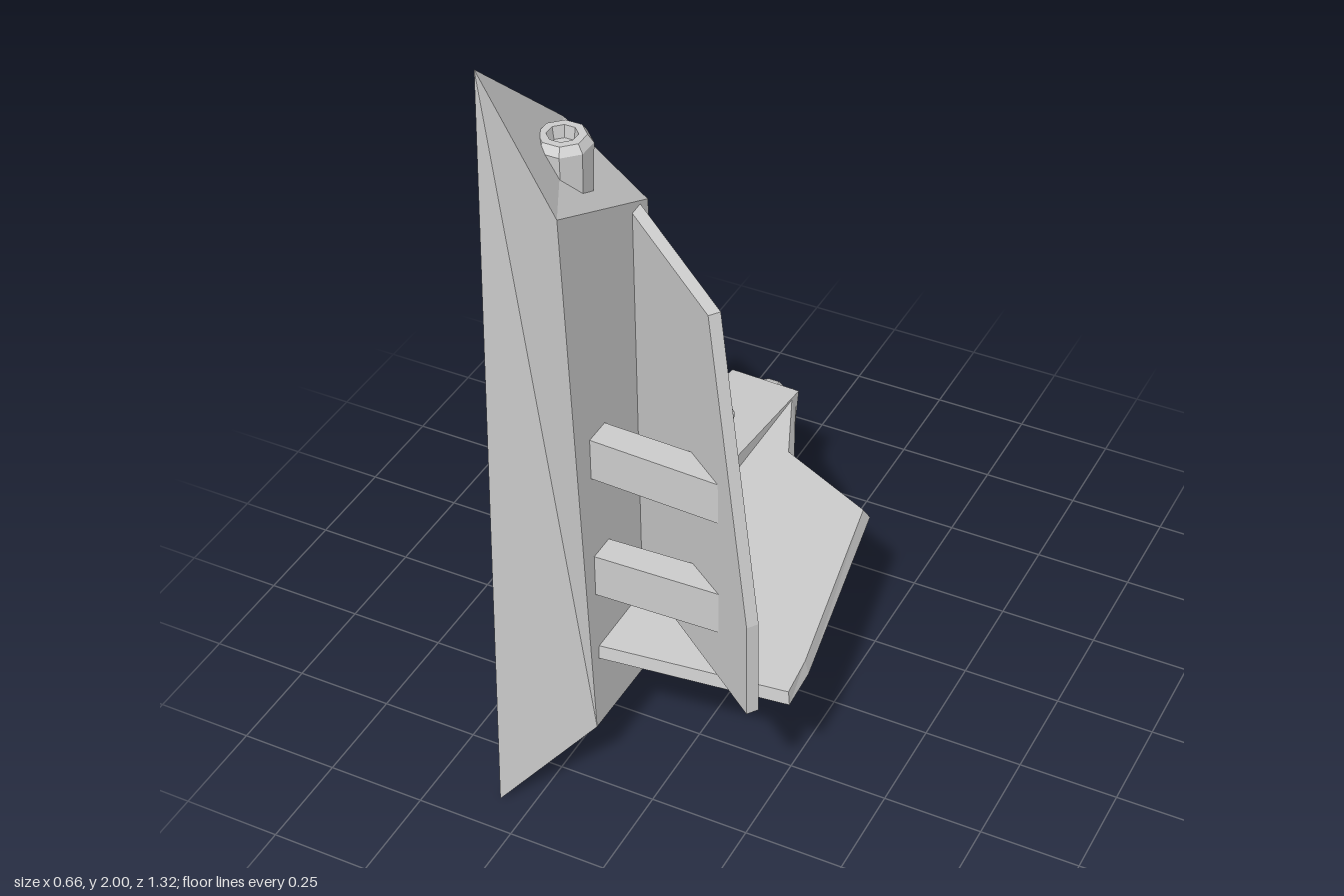
import * as THREE from 'three';

const material = new THREE.MeshStandardMaterial({ color: 0xcccccc, flatShading: true });

// Solid between two outlines of equal length; place(p, k) puts a 2D point in space (k = 0 first, 1 second).
// Outlines run counter-clockwise as seen from outside the first cap.
function loft(name, first, second, place) {
  const n = first.length, positions = [], index = [];
  [first, second].forEach((outline, k) => outline.forEach(p => positions.push(...place(p, k))));
  const cap = o => THREE.ShapeUtils.triangulateShape(o.map(p => new THREE.Vector2(...p)), []);
  for (const [a, b, c] of cap(first)) index.push(a, b, c);
  for (const [a, b, c] of cap(second)) index.push(n + c, n + b, n + a);
  for (let i = 0; i < n; i++) {
    const j = (i + 1) % n;
    index.push(i, n + i, j, n + i, n + j, j);
  }
  const geometry = new THREE.BufferGeometry();
  geometry.setAttribute('position', new THREE.Float32BufferAttribute(positions, 3));
  geometry.setIndex(index);
  const flat = geometry.toNonIndexed();
  flat.computeVertexNormals();
  const mesh = new THREE.Mesh(flat, material);
  mesh.name = name;
  return mesh;
}

// Eight-sided nozzle with a chamfered rim and a recessed bore; its rim is at the origin, pointing up
function nozzle(name, radius, length) {
  const profile = [
    [radius * 0.92, -length], [radius, -0.02], [radius * 0.8, 0],
    [radius * 0.52, 0], [radius * 0.45, -0.03], [0, -0.03],
  ].map(p => new THREE.Vector2(...p));
  const mesh = new THREE.Mesh(new THREE.LatheGeometry(profile, 8, Math.PI / 8), material);
  mesh.name = name;
  return mesh;
}

export function createModel() {
  const group = new THREE.Group();

  // L-shaped hull, outlines as [z, y]: large on the flat side, smaller on the fin side
  const outer = [[0.66, 0], [0.57, 2], [0.22, 1.69], [0.145, 0.79], [0.01, 0.57], [-0.6, 0.44], [-0.645, 0.09]];
  const inner = [[0.51, 0.19], [0.59, 1.7], [0.195, 1.515], [0.142, 0.68], [0.035, 0.505], [-0.605, 0.43], [-0.55, 0.16]];
  group.add(loft('hull', outer, inner, ([z, y], k) => [k ? -0.14 : -0.33, y, z]));

  // Horizontal fin, outlines as [x, z], with slightly bevelled outer edges
  const finBottom = [[-0.16, -0.63], [-0.05, -0.39], [0.22, -0.26], [0.325, 0.32], [0.33, 0.435], [-0.16, 0.492]];
  const finTop = [[-0.16, -0.61], [-0.055, -0.365], [0.21, -0.24], [0.315, 0.32], [0.325, 0.43], [-0.16, 0.487]];
  group.add(loft('horizontalFin', finBottom, finTop, ([x, z], k) => [x, k ? 0.43 : 0.395, z]));

  // Upright fin, outline as [distance along the fin, y], swept outward and forward
  const upright = [[-0.02, 0.48], [0.56, 0.48], [0.56, 0.74], [0.385, 1.48], [-0.02, 1.525]];
  const angle = Math.atan2(0.33, 0.45), c = Math.cos(angle), s = Math.sin(angle);
  group.add(loft('uprightFin', upright, upright, ([u, y], k) => {
    const t = k ? 0 : 0.03;
    return [-0.14 + u * c - t * s, y, 0.23 + u * s + t * c];
  }));

  // Struts from the hull to the upright fin, cut to its slant
  const strut = [[-0.18, 0.42], [0.11, 0.43], [0.185, 0.505], [-0.18, 0.49]];
  for (const [name, bottom, top, tilt] of [['upperStrut', 0.94, 1.05, 0], ['lowerStrut', 0.605, 0.72, 0.07]]) {
    group.add(loft(name, strut, strut, ([x, z], k) => [x, (k ? top : bottom) + tilt * x, z]));
  }

  // Diagonal brace below the horizontal fin, section as [x, y]
  const brace = [[-0.18, 0.185], [0.15, 0.4], [0.04, 0.4], [-0.18, 0.265]];
  group.add(loft('brace', brace, brace, ([x, y], k) => [x, y, k ? 0.14 : 0.3]));

  // Nozzles on the upper surfaces and the rear face
  const nozzles = [
    ['topNozzle', 0.067, 0.15, 1.77, 0.39, 0],
    ['deckNozzle', 0.067, 0.12, 0.585, -0.27, 0],
    ['upperRearNozzle', 0.053, 0.09, 0.36, -0.655, -Math.PI / 2],
    ['lowerRearNozzle', 0.066, 0.09, 0.212, -0.66, -Math.PI / 2],
  ];
  for (const [name, radius, length, y, z, tilt] of nozzles) {
    const mesh = nozzle(name, radius, length);
    mesh.position.set(-0.235, y, z);
    mesh.rotation.x = tilt;
    group.add(mesh);
  }

  return group;
}
